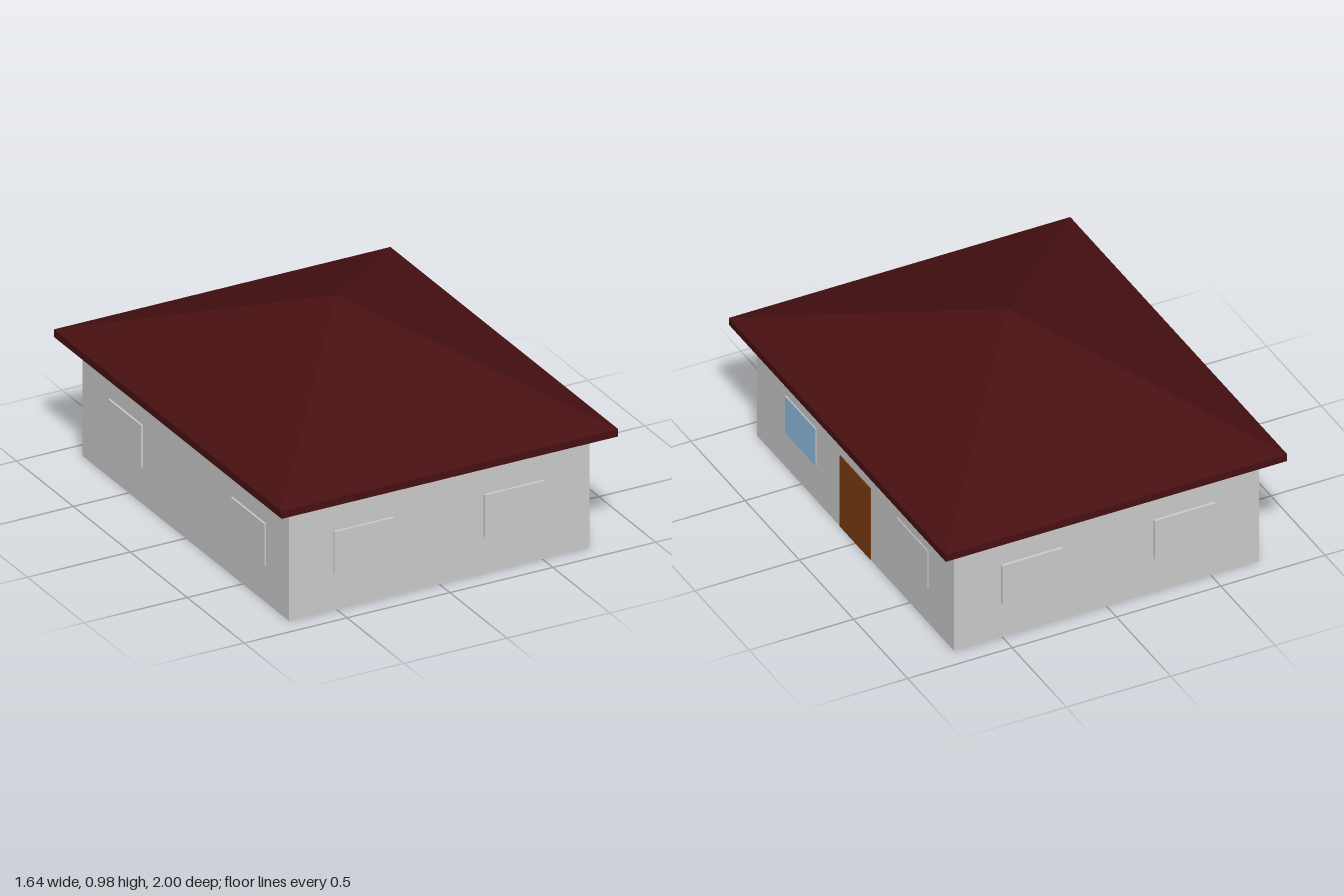
import * as THREE from 'three';

export function createModel() {
  const house = new THREE.Group();
  house.name = 'house';

  const mat = (name, color) => {
    const m = new THREE.MeshStandardMaterial({ color });
    m.name = name;
    return m;
  };
  const wallGrey = mat('wall grey', 0xcccccc);
  const roofRed = mat('dark red roof', 0x481012);
  const doorBrown = mat('door brown', 0x7a3c11);
  const glassBlue = mat('glass blue', 0x91c0e4);

  // Box given by its minimum and maximum corners
  const box = (name, material, [x0, y0, z0], [x1, y1, z1]) => {
    const mesh = new THREE.Mesh(new THREE.BoxGeometry(x1 - x0, y1 - y0, z1 - z0), material);
    mesh.position.set((x0 + x1) / 2, (y0 + y1) / 2, (z0 + z1) / 2);
    mesh.name = name;
    house.add(mesh);
    return mesh;
  };

  const W = 0.73, D = 0.908, EAVE = 0.545;
  box('walls', wallGrey, [-W, 0, -D], [W, EAVE, D]);

  // Roof: eave slab and a four-sided hip rising to one point
  const RX = 0.818, RZ = 1, SLAB = 0.58, APEX = 0.98;
  box('eaves', roofRed, [-RX, EAVE, -RZ], [RX, SLAB, RZ]);
  const hip = new THREE.ConeGeometry(Math.SQRT2, APEX - SLAB, 4, 1, true).toNonIndexed();
  hip.rotateY(Math.PI / 4);
  hip.scale(RX, 1, RZ);
  hip.computeVertexNormals();
  const roof = new THREE.Mesh(hip, roofRed);
  roof.position.y = (SLAB + APEX) / 2;
  roof.name = 'hipRoof';
  house.add(roof);

  // Windows on the front and back walls
  const Y0 = 0.175, Y1 = 0.375;
  for (const [x0, x1] of [[-0.515, -0.225], [0.215, 0.505]]) {
    box('frontWindow', wallGrey, [x0, Y0, D - 0.02], [x1, Y1, D + 0.011]);
    box('backWindow', wallGrey, [x0, Y0, -D - 0.013], [x1, Y1, -D + 0.02]);
  }

  // Windows on the left-hand and right-hand walls
  for (const [z0, z1] of [[-0.667, -0.377], [0.41, 0.705]])
    box('sideWindow', wallGrey, [-W - 0.009, Y0, z0], [-W + 0.02, Y1, z1]);
  for (const [z0, z1] of [[-0.67, -0.385], [0.36, 0.64]])
    box('doorSideWindow', wallGrey, [W - 0.02, Y0 + 0.004, z0], [W + 0.004, Y1 - 0.004, z1]);

  // Blue pane and door
  box('windowPane', glassBlue, [W + 0.002, 0.181, 0.361], [W + 0.006, 0.37, 0.639]);
  box('door', doorBrown, [W - 0.003, 0.003, -0.14], [W + 0.004, 0.37, 0.14]);

  return house;
}
